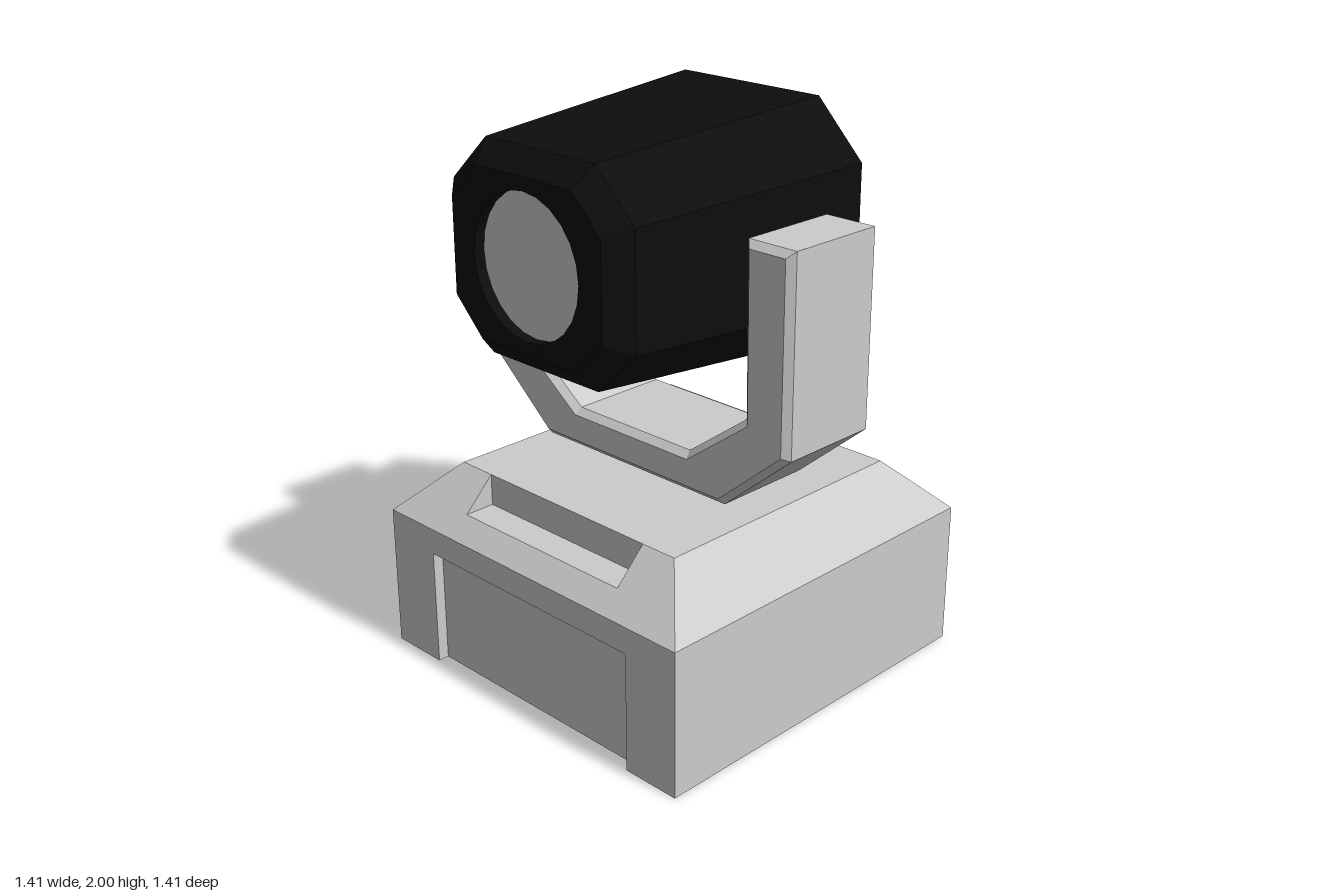
import * as THREE from 'three';
import { mergeGeometries } from 'three/addons/utils/BufferGeometryUtils.js';

const grey = new THREE.MeshStandardMaterial({ color: 0xcccccc, flatShading: true });
const black = new THREE.MeshStandardMaterial({ color: 0x0d0d0d, flatShading: true });

const toShape = pts => new THREE.Shape(pts.map(p => new THREE.Vector2(...p)));

// Flat convex face, corners counter-clockwise seen from outside
function face(...corners) {
  const pos = [];
  for (let i = 1; i < corners.length - 1; i++) pos.push(...corners[0], ...corners[i], ...corners[i + 1]);
  const g = new THREE.BufferGeometry();
  g.setAttribute('position', new THREE.Float32BufferAttribute(pos, 3));
  return g;
}

// Flat face from a 2D outline, each point placed in space by a rule
function panel(shape, place) {
  const g = new THREE.ShapeGeometry(shape).toNonIndexed();
  g.deleteAttribute('uv');
  g.deleteAttribute('normal');
  const p = g.attributes.position;
  for (let i = 0; i < p.count; i++) p.setXYZ(i, ...place(p.getX(i), p.getY(i)));
  return g;
}

function mesh(name, geometry, material) {
  const m = new THREE.Mesh(geometry, material);
  m.name = name;
  return m;
}

function join(name, parts, material) {
  const g = mergeGeometries(parts);
  g.computeVertexNormals();
  return mesh(name, g, material);
}

// Square base with sloped shoulders, a front recess and a slot in the front slope
function buildBase() {
  const W = 0.705, T = 0.52, S = 0.525, H = 0.71;
  const [rl, rr, rh, rz] = [-0.48, 0.487, 0.43, 0.665];
  const [sl, sr, sy] = [-0.37, 0.38, 0.595];
  const slope = y => W + S - y;
  const parts = [];

  // Plain sides and shoulders: right, back, left
  const ring = (w, y) => [[w, y, w], [w, y, -w], [-w, y, -w], [-w, y, w]];
  const [low, mid, top] = [ring(W, 0), ring(W, S), ring(T, H)];
  for (let i = 0; i < 3; i++) {
    parts.push(face(low[i], low[i + 1], mid[i + 1], mid[i]));
    parts.push(face(mid[i], mid[i + 1], top[i + 1], top[i]));
  }
  parts.push(face(...top));

  // Front, front slope and underside, each with its notch
  parts.push(panel(toShape([[-W, 0], [rl, 0], [rl, rh], [rr, rh], [rr, 0], [W, 0], [W, S], [-W, S]]),
    (x, y) => [x, y, W]));
  parts.push(panel(toShape([[-W, S], [W, S], [T, H], [sr, H], [sr, sy], [sl, sy], [sl, H], [-T, H]]),
    (x, y) => [x, y, slope(y)]));
  parts.push(panel(toShape([[-W, -W], [W, -W], [W, W], [rr, W], [rr, rz], [rl, rz], [rl, W], [-W, W]]),
    (x, z) => [x, 0, z]));

  // Inside of the front recess
  parts.push(face([rl, 0, rz], [rr, 0, rz], [rr, rh, rz], [rl, rh, rz]));
  parts.push(face([rl, rh, rz], [rr, rh, rz], [rr, rh, W], [rl, rh, W]));
  parts.push(face([rl, 0, W], [rl, 0, rz], [rl, rh, rz], [rl, rh, W]));
  parts.push(face([rr, 0, rz], [rr, 0, W], [rr, rh, W], [rr, rh, rz]));

  // Inside of the slot
  const zf = slope(sy);
  parts.push(face([sl, sy, T], [sr, sy, T], [sr, H, T], [sl, H, T]));
  parts.push(face([sl, sy, zf], [sr, sy, zf], [sr, sy, T], [sl, sy, T]));
  parts.push(face([sl, sy, zf], [sl, sy, T], [sl, H, T]));
  parts.push(face([sr, sy, T], [sr, sy, zf], [sr, H, T]));
  return join('base', parts, grey);
}

// U-shaped yoke with chamfered edges
function buildYoke() {
  const half = [[0.425, 0.75], [0.705, 0.99], [0.705, 1.678], [0.51, 1.678], [0.515, 1.08], [0.265, 0.895]];
  const mirrored = half.map(([x, y]) => [-x, y]).reverse();
  const b = 0.024, D = 0.21;
  const g = new THREE.ExtrudeGeometry(toShape([...half, ...mirrored]), {
    depth: 2 * (D - b), bevelEnabled: true, bevelSegments: 1, bevelSize: b, bevelThickness: b, bevelOffset: -b,
  });
  g.translate(0, 0, -(D - b));
  return mesh('yoke', g, grey);
}

// Tapered octagonal lamp head with a recessed round lens
function buildHead() {
  const group = new THREE.Group();
  group.name = 'lampHead';
  group.position.y = 1.573;

  // z, half width, half height, corner x, corner y
  const sections = [
    [-0.54, 0.315, 0.25, 0.21, 0.14],
    [-0.375, 0.495, 0.428, 0.305, 0.235],
    [0.58, 0.42, 0.362, 0.25, 0.2],
    [0.65, 0.345, 0.29, 0.22, 0.165],
  ];
  const octagon = ([z, w, h, cx, cy]) => [
    [w, -cy, z], [w, cy, z], [cx, h, z], [-cx, h, z], [-w, cy, z], [-w, -cy, z], [-cx, -h, z], [cx, -h, z],
  ];
  const rings = sections.map(octagon);
  const parts = [face(...[...rings[0]].reverse())];
  for (let k = 0; k < 3; k++) {
    for (let i = 0; i < 8; i++) {
      const j = (i + 1) % 8;
      parts.push(face(rings[k][i], rings[k][j], rings[k + 1][j], rings[k + 1][i]));
    }
  }

  // Front face with the lens opening and its inner wall
  const R = 0.245, N = 24, front = 0.65, back = 0.61;
  const circle = Array.from({ length: N }, (_, i) => {
    const a = (i / N) * Math.PI * 2;
    return [R * Math.cos(a), R * Math.sin(a)];
  });
  const shape = toShape(rings[3].map(([x, y]) => [x, y]));
  shape.holes.push(toShape(circle));
  parts.push(panel(shape, (x, y) => [x, y, front]));
  circle.forEach((p, i) => {
    const q = circle[(i + 1) % N];
    parts.push(face([...q, back], [...p, back], [...p, front], [...q, front]));
  });
  group.add(join('housing', parts, black));

  const lens = mesh('lens', new THREE.CircleGeometry(R, N), grey);
  lens.position.z = back;
  group.add(lens);
  return group;
}

export function createModel() {
  const model = new THREE.Group();
  model.name = 'movingHeadLight';
  model.add(buildBase(), buildYoke(), buildHead());
  return model;
}
